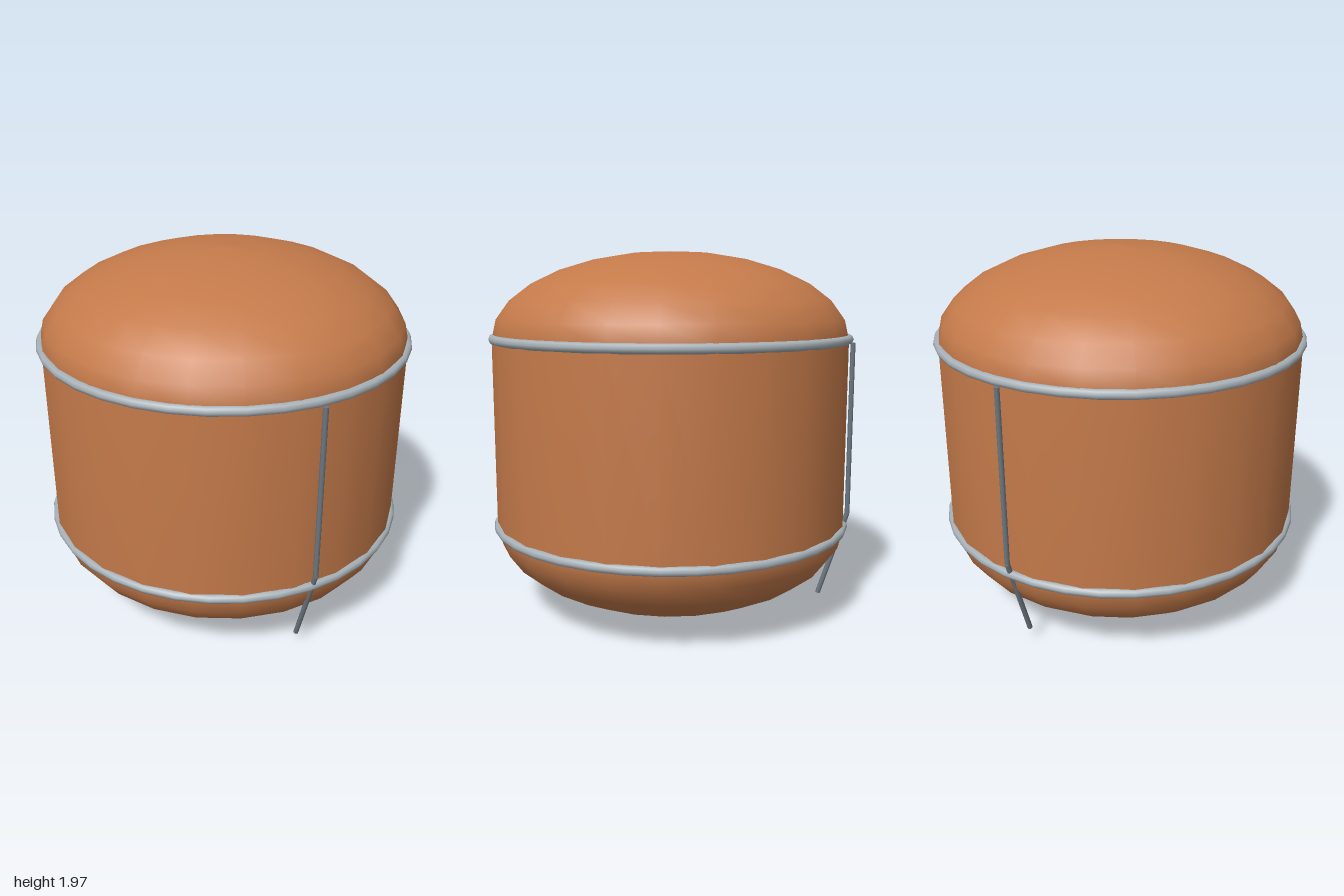
import * as THREE from 'three';

export function createModel() {
  const group = new THREE.Group();
  const material = (name, color) => {
    const m = new THREE.MeshStandardMaterial({ color });
    m.name = name;
    return m;
  };
  const copper = material('copper brown', 0xc47a4a);
  const steel = material('light steel', 0xa8b2b8);
  const darkSteel = material('dark steel', 0x6c777f);
  const add = (name, geometry, mat, parent = group) => {
    const mesh = new THREE.Mesh(geometry, mat);
    mesh.name = name;
    parent.add(mesh);
    return mesh;
  };

  const radius = 0.98, low = 0.48, high = 1.51, dome = 0.47, steps = 7;

  // Tank: straight wall closed by two elliptical domes
  const profile = [];
  for (let i = 0; i <= steps; i++) {
    const a = (i / steps) * Math.PI / 2;
    profile.push(new THREE.Vector2(radius * Math.sin(a), low - dome * Math.cos(a)));
  }
  for (let i = steps; i >= 0; i--) {
    const a = (i / steps) * Math.PI / 2;
    profile.push(new THREE.Vector2(radius * Math.sin(a), high + dome * Math.cos(a)));
  }
  profile[0].x = profile[profile.length - 1].x = 0;
  add('tankBody', new THREE.LatheGeometry(profile, 24), copper);

  // Round hoops at both seams
  for (const [name, y] of [['lowerHoop', low], ['upperHoop', high]]) {
    const hoop = add(name, new THREE.TorusGeometry(0.975, 0.025, 8, 36), steel);
    hoop.rotation.x = Math.PI / 2;
    hoop.position.y = y;
  }

  // Straight round rod between two points
  const rod = (name, from, to, parent) => {
    const direction = to.clone().sub(from);
    const mesh = add(name, new THREE.CylinderGeometry(0.014, 0.014, direction.length(), 8), darkSteel, parent);
    mesh.position.copy(from).add(to).multiplyScalar(0.5);
    mesh.quaternion.setFromUnitVectors(new THREE.Vector3(0, 1, 0), direction.normalize());
  };

  // Two opposite pipes, each bent inward below the lower hoop
  for (const [name, angle] of [['frontPipe', 0], ['backPipe', Math.PI]]) {
    const pipe = new THREE.Group();
    pipe.name = name;
    const bend = new THREE.Vector3(0.367, 0.55, 0.927);
    rod('uprightPipe', bend, new THREE.Vector3(0.367, 1.49, 0.927), pipe);
    rod('slantedPipe', new THREE.Vector3(0.31, 0.08, 0.79), bend, pipe);
    pipe.rotation.y = angle;
    group.add(pipe);
  }

  return group;
}
